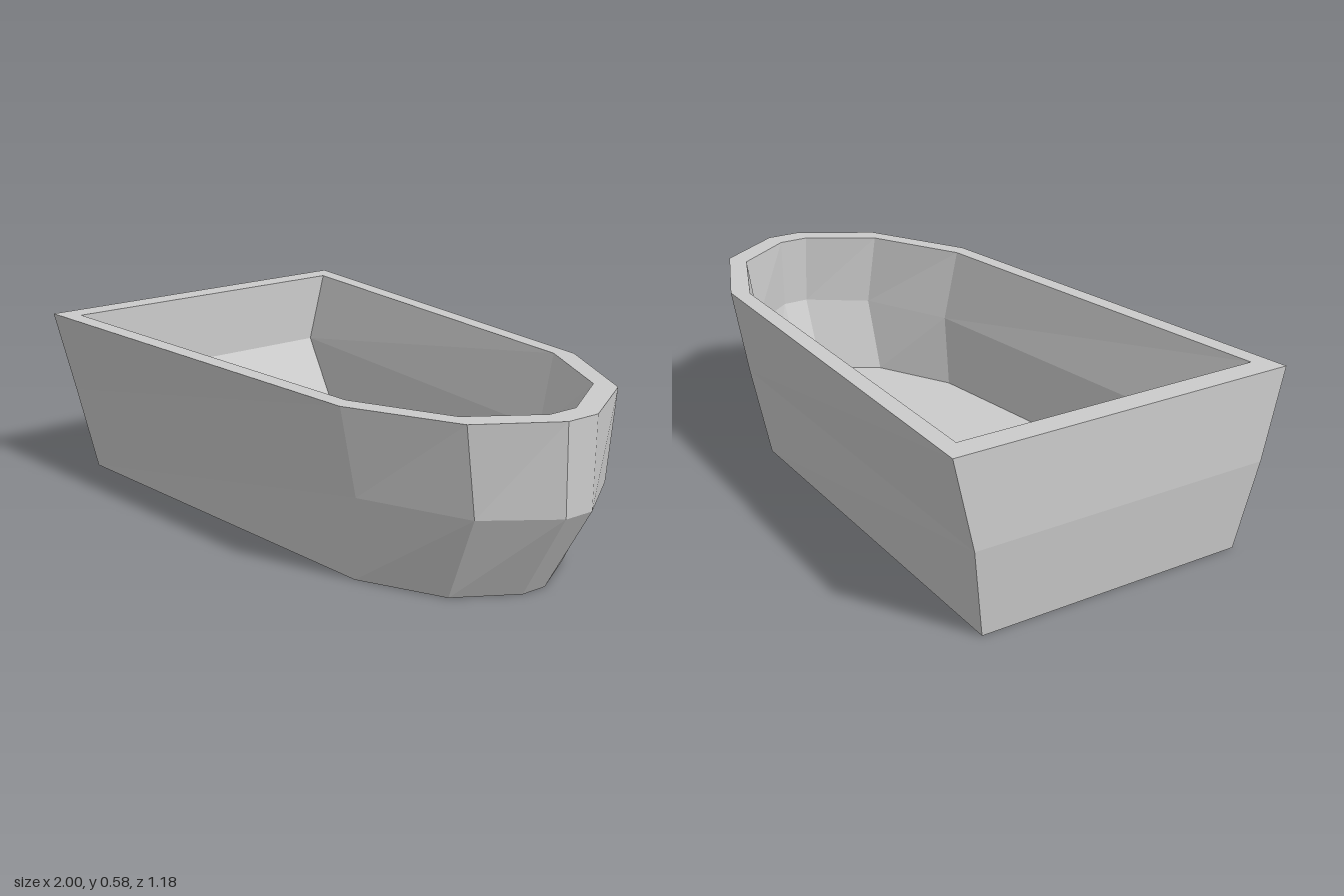
import * as THREE from 'three';

// Each ring: height, then half outline [x, z] from stern to bow
const outerRings = [
  [0, [[-0.965, 0.467], [0.44, 0.37], [0.715, 0.235], [0.83, 0.045]]],
  [0.29, [[-1, 0.52], [0.5, 0.412], [0.85, 0.262], [1, 0.052]]],
  [0.58, [[-1, 0.592], [0.5, 0.468], [0.85, 0.298], [1, 0.058]]],
];
const innerRings = [
  [0.58, [[-0.92, 0.527], [0.46, 0.417], [0.78, 0.266], [0.92, 0.052]]],
  [0.34, [[-0.92, 0.462], [0.46, 0.365], [0.78, 0.233], [0.92, 0.046]]],
  [0.1, [[-0.76, 0.45], [0.42, 0.358], [0.69, 0.228], [0.815, 0.042]]],
];

// Mirror a half outline into a closed ring
function closeRing([y, half]) {
  const near = half.map(([x, z]) => [x, y, z]);
  const far = half.map(([x, z]) => [x, y, -z]).reverse();
  return [...near, ...far];
}

// Skin successive rings, optionally capping the first or last one
function loft(rings, capFirst, capLast) {
  const n = rings[0].length;
  const index = [];
  for (let r = 0; r < rings.length - 1; r++) {
    for (let i = 0; i < n; i++) {
      const j = (i + 1) % n;
      const a = r * n + i, b = r * n + j;
      index.push(a, b, b + n, a, b + n, a + n);
    }
  }
  const last = (rings.length - 1) * n;
  for (let i = 1; i < n - 1; i++) {
    if (capFirst) index.push(0, i + 1, i);
    if (capLast) index.push(last, last + i, last + i + 1);
  }
  const geometry = new THREE.BufferGeometry();
  geometry.setAttribute('position', new THREE.Float32BufferAttribute(rings.flat(2), 3));
  geometry.setIndex(index);
  const flat = geometry.toNonIndexed();
  flat.computeVertexNormals();
  return flat;
}

export function createModel() {
  const group = new THREE.Group();
  group.name = 'boat';
  const material = new THREE.MeshStandardMaterial({ color: 0xcccccc, flatShading: true });
  const add = (name, rings, capFirst, capLast) => {
    const mesh = new THREE.Mesh(loft(rings, capFirst, capLast), material);
    mesh.name = name;
    group.add(mesh);
  };

  const outer = outerRings.map(closeRing);
  const inner = innerRings.map(closeRing);
  add('outerHull', outer, true, false);
  add('rim', [outer[2], inner[0]], false, false);
  add('innerHull', inner, false, true);
  return group;
}
